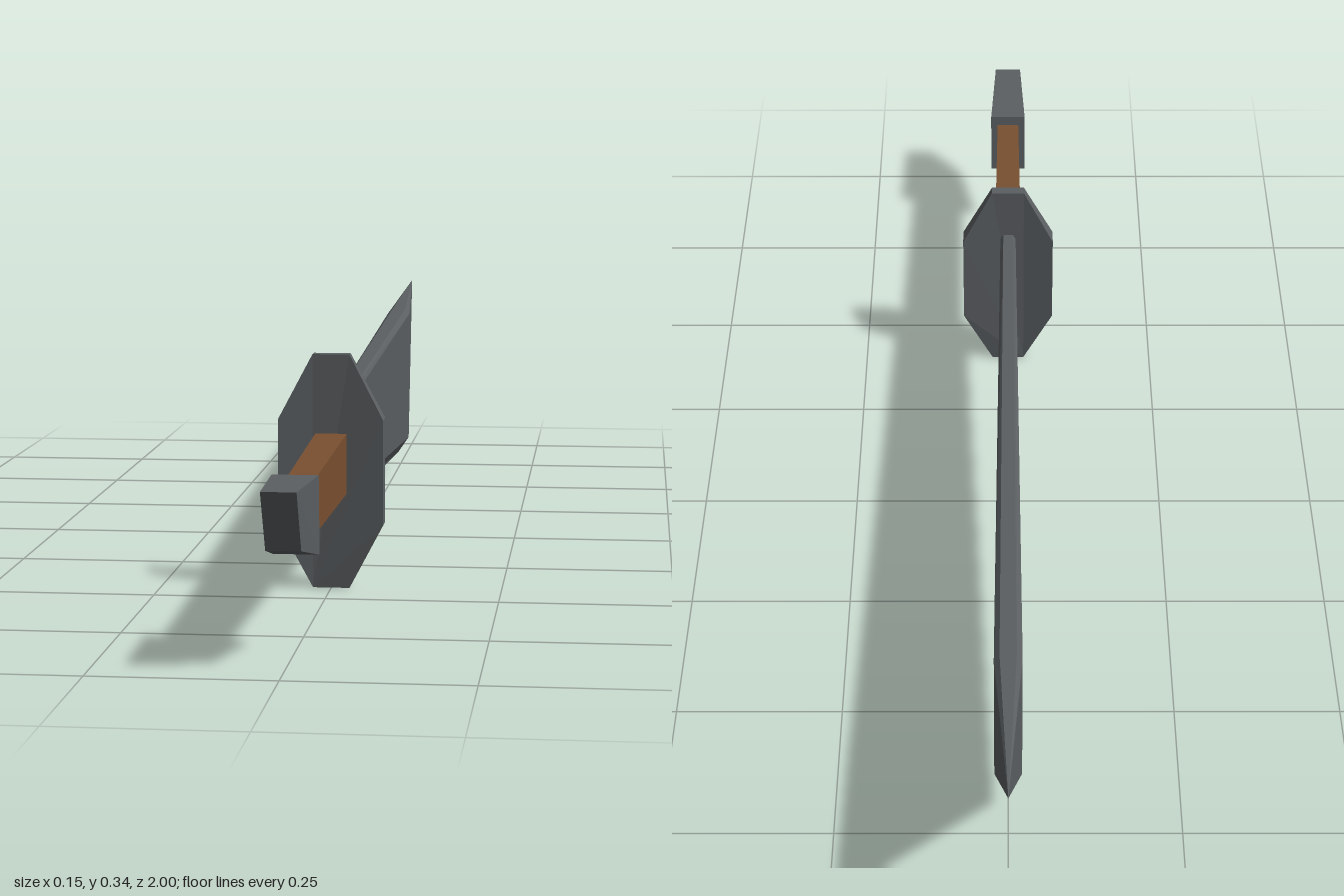
import * as THREE from 'three';

const steel = new THREE.MeshStandardMaterial({ color: 0x5b5f62, flatShading: true });
const wood = new THREE.MeshStandardMaterial({ color: 0x7a5030, flatShading: true });

// Skin a list of rings running from +z to -z; each ring is counterclockwise seen from +z.
function loft(name, rings, material) {
  const pos = [];
  const n = rings[0].length;
  const tri = (...corners) => {
    const [a, b, c] = corners.map((p) => new THREE.Vector3(...p));
    if (b.clone().sub(a).cross(c.clone().sub(a)).length() < 1e-8) return;
    for (const p of corners) pos.push(...p);
  };
  for (let r = 0; r < rings.length - 1; r++) {
    for (let i = 0; i < n; i++) {
      const j = (i + 1) % n;
      const a = rings[r][i], b = rings[r][j], c = rings[r + 1][j], d = rings[r + 1][i];
      tri(a, d, b);
      tri(d, c, b);
    }
  }
  const first = rings[0], last = rings[rings.length - 1];
  for (let i = 1; i < n - 1; i++) {
    tri(first[0], first[i], first[i + 1]);
    tri(last[0], last[i + 1], last[i]);
  }
  const geometry = new THREE.BufferGeometry();
  geometry.setAttribute('position', new THREE.Float32BufferAttribute(pos, 3));
  geometry.computeVertexNormals();
  const mesh = new THREE.Mesh(geometry, material);
  mesh.name = name;
  return mesh;
}

// Four-cornered ring whose bottom and top edges may sit at different z
const box = (w, y0, z0, y1, z1) => [[-w, y0, z0], [w, y0, z0], [w, y1, z1], [-w, y1, z1]];

// Blade section: sharp lower edge, flat sides, lightly chamfered spine
const bladeRing = (z, zBevel, edge, bevel, top, w, t) => [
  [0, edge, z], [w, bevel, zBevel], [w, top - 0.008, z], [t, top, z],
  [-t, top, z], [-w, top - 0.008, z], [-w, bevel, zBevel],
];

// Octagonal guard outline, thinner towards its upper and lower ends
const guardRing = (side) => [
  [-0.027, 0], [0.027, 0], [0.077, 0.095], [0.077, 0.25],
  [0.027, 0.345], [-0.027, 0.345], [-0.077, 0.25], [-0.077, 0.095],
].map(([x, y]) => [x, y, 0.412 + side * (Math.abs(y - 0.172) > 0.1 ? 0.009 : 0.016)]);

export function createModel() {
  const group = new THREE.Group();
  group.name = 'sword';

  group.add(loft('blade', [
    bladeRing(0.41, 0.41, 0.1, 0.13, 0.26, 0.013, 0.008),
    bladeRing(-0.7, -0.69, 0.03, 0.06, 0.3, 0.02, 0.012),
    Array.from({ length: 7 }, () => [0, 0.328, -1]),
  ], steel));

  group.add(loft('guard', [guardRing(1), guardRing(-1)], steel));

  group.add(loft('grip', [
    box(0.019, 0.147, 0.84, 0.219, 0.84),
    box(0.023, 0.14, 0.41, 0.229, 0.41),
  ], wood));

  group.add(loft('pommel', [
    box(0.023, 0.157, 0.955, 0.24, 1),
    box(0.031, 0.128, 0.826, 0.235, 0.834),
  ], steel));

  return group;
}
